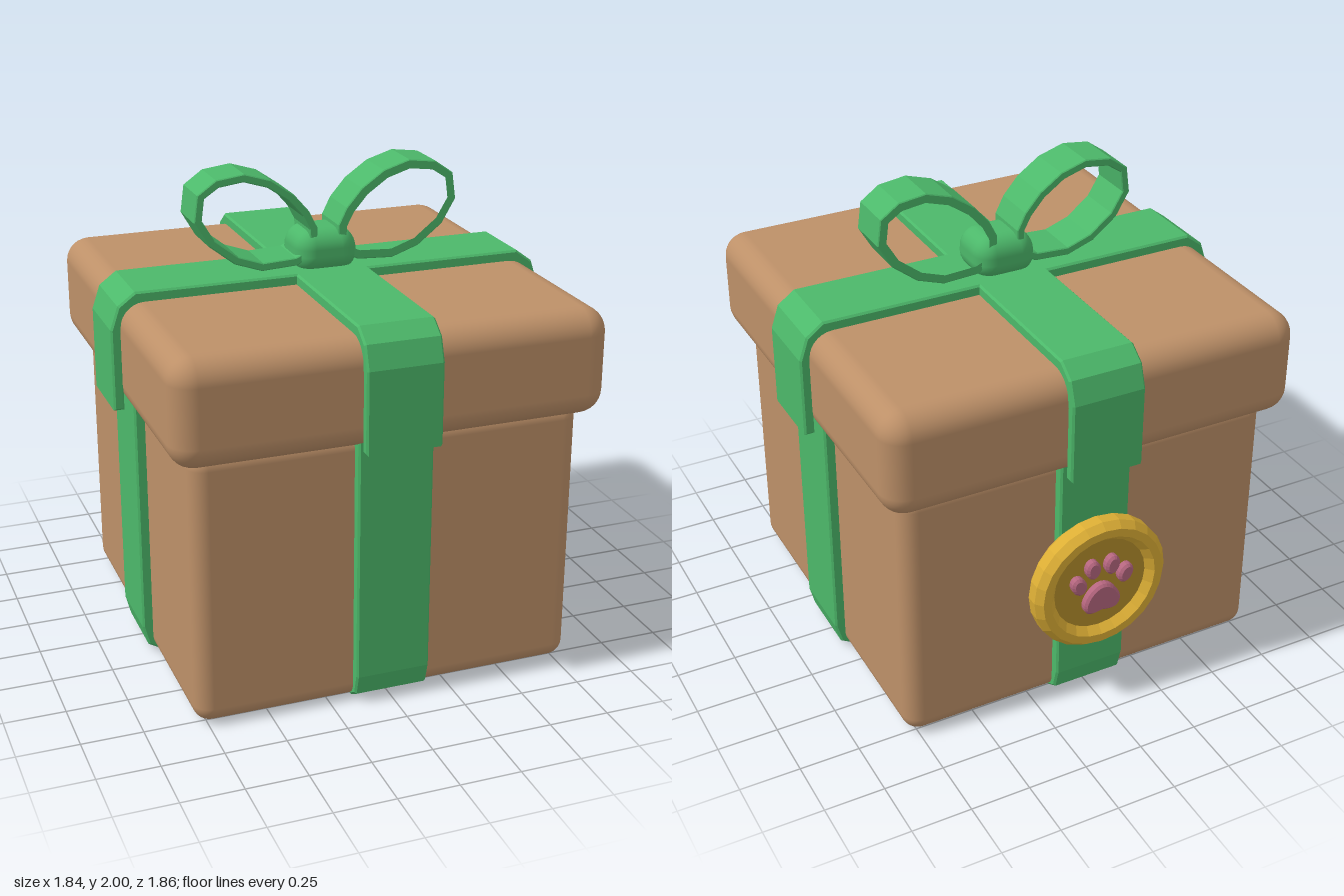
import * as THREE from 'three';
import { RoundedBoxGeometry } from 'three/addons/geometries/RoundedBoxGeometry.js';

const material = (name, color) => {
  const m = new THREE.MeshStandardMaterial({ color });
  m.name = name;
  return m;
};

export function createModel() {
  const cardboard = material('cardboard brown', 0xbd9068);
  const green = material('ribbon green', 0x4cb86a);
  const gold = material('gold', 0xdcae35);
  const darkGold = material('dark gold', 0xb58e2c);
  const pink = material('paw pink', 0xb5667f);

  const model = new THREE.Group();
  model.name = 'giftBox';
  const gift = new THREE.Group();
  gift.name = 'gift';
  gift.position.z = 0.008;
  model.add(gift);

  const add = (parent, name, geometry, mat, x = 0, y = 0, z = 0) => {
    const mesh = new THREE.Mesh(geometry, mat);
    mesh.name = name;
    mesh.position.set(x, y, z);
    parent.add(mesh);
    return mesh;
  };

  // Extrudes an outline symmetrically about z = 0, with slim bevelled edges
  const toShape = pts => new THREE.Shape(pts.map(([x, y]) => new THREE.Vector2(x, y)));
  const strip = (shape, width, bevel = 0.008) => new THREE.ExtrudeGeometry(shape, {
    depth: width - 2 * bevel, bevelEnabled: true, bevelSize: bevel,
    bevelThickness: bevel, bevelOffset: -bevel, bevelSegments: 1, curveSegments: 8,
  }).translate(0, 0, -width / 2 + bevel);
  const mirrored = pts => pts.map(([x, y]) => [-x, y]).reverse();

  // Box and lid
  add(gift, 'boxBody', new RoundedBoxGeometry(1.6, 1.145, 1.6, 4, 0.07), cardboard, 0, 0.5775, 0);
  add(gift, 'lid', new RoundedBoxGeometry(1.765, 0.437, 1.765, 4, 0.1), cardboard, 0, 1.3265, 0);

  // Ribbons over the lid and down the sides of the box, once per direction
  const lidOuter = [[0.922, 1.105], [0.922, 1.44], [0.89, 1.535], [0.82, 1.587]];
  const lidInner = [[0.79, 1.535], [0.85, 1.5], [0.879, 1.42], [0.879, 1.105]];
  const lidOutline = [...lidOuter, ...mirrored(lidOuter), ...mirrored(lidInner), ...lidInner];
  const sideOutline = [[0.842, 1.14], [0.842, 0.12], [0.82, 0.035], [0.76, 0], [0.7, 0.03], [0.77, 0.12], [0.77, 1.14]];
  for (const [label, angle] of [['Across', 0], ['Lengthwise', Math.PI / 2]]) {
    const ribbon = new THREE.Group();
    ribbon.name = 'ribbon' + label;
    ribbon.rotation.y = angle;
    gift.add(ribbon);
    add(ribbon, 'lidRibbon', strip(toShape(lidOutline), 0.31), green);
    add(ribbon, 'sideRibbonA', strip(toShape(sideOutline), 0.308), green);
    add(ribbon, 'sideRibbonB', strip(toShape(mirrored(sideOutline)), 0.308), green);
  }

  // Bow: two hollow loops and a knot
  const loopOuter = [[0.045, 1.65], [0.045, 1.755], [0.08, 1.825], [0.145, 1.9], [0.24, 1.966], [0.35, 2],
    [0.465, 1.985], [0.543, 1.93], [0.558, 1.82], [0.5, 1.72], [0.395, 1.637], [0.28, 1.597], [0.13, 1.605]];
  const insetLoop = (pts, d) => pts.map(([x, y], i) => {
    const a = pts[(i + pts.length - 1) % pts.length];
    const b = pts[(i + 1) % pts.length];
    const dx = b[0] - a[0], dy = b[1] - a[1], l = Math.hypot(dx, dy);
    return [x + dy / l * d, y - dx / l * d];
  });
  const loopInner = insetLoop(loopOuter, 0.033);
  for (const [name, side] of [['leftBowLoop', 1], ['rightBowLoop', -1]]) {
    const flip = pts => pts.map(([x, y]) => [x * side, y]);
    const shape = toShape(flip(loopOuter));
    shape.holes.push(toShape(flip(loopInner)));
    add(gift, name, strip(shape, 0.195, 0.004), green);
  }
  const knot = new RoundedBoxGeometry(0.265, 0.18, 0.25, 3, 0.075);
  const kp = knot.attributes.position;
  for (let i = 0; i < kp.count; i++) {
    const taper = 1 - 0.9 * Math.max(0, kp.getY(i));
    kp.setX(i, kp.getX(i) * taper);
    kp.setZ(i, kp.getZ(i) * taper);
  }
  add(gift, 'bowKnot', knot, green, 0, 1.65, 0);

  // Medallion on the back, built facing +z and turned round
  const medal = new THREE.Group();
  medal.name = 'medallion';
  medal.position.set(0, 0.57, -0.825);
  medal.rotation.y = Math.PI;
  model.add(medal);
  const rimProfile = [[0, 0], [0.28, 0], [0.295, 0.02], [0.295, 0.068], [0.27, 0.098], [0.235, 0.098], [0.205, 0.065]]
    .map(([r, h]) => new THREE.Vector2(r, h));
  const rim = new THREE.LatheGeometry(rimProfile, 24).rotateX(Math.PI / 2).toNonIndexed();
  rim.computeVertexNormals();
  add(medal, 'medallionRim', rim, gold);
  add(medal, 'medallionFace', new THREE.CircleGeometry(0.208, 24), darkGold, 0, 0, 0.066);

  // Raised paw: one pad and four toes
  const pad = new THREE.Shape();
  pad.moveTo(0, 0.065);
  pad.bezierCurveTo(0.05, 0.065, 0.085, 0, 0.082, -0.03);
  pad.bezierCurveTo(0.078, -0.075, 0.03, -0.07, 0, -0.06);
  pad.bezierCurveTo(-0.03, -0.07, -0.078, -0.075, -0.082, -0.03);
  pad.bezierCurveTo(-0.085, 0, -0.05, 0.065, 0, 0.065);
  add(medal, 'pawPad', strip(pad, 0.06, 0.01), pink, 0, -0.055, 0.07);
  for (const [x, y, tilt] of [[-0.105, 0.03, 0.35], [-0.043, 0.09, 0.1], [0.043, 0.09, -0.1], [0.105, 0.03, -0.35]]) {
    const toe = new THREE.Shape();
    toe.absellipse(0, 0, 0.032, 0.043, 0, Math.PI * 2, false, 0);
    add(medal, 'pawToe', strip(toe, 0.06, 0.01), pink, x, y, 0.07).rotation.z = tilt;
  }

  return model;
}
